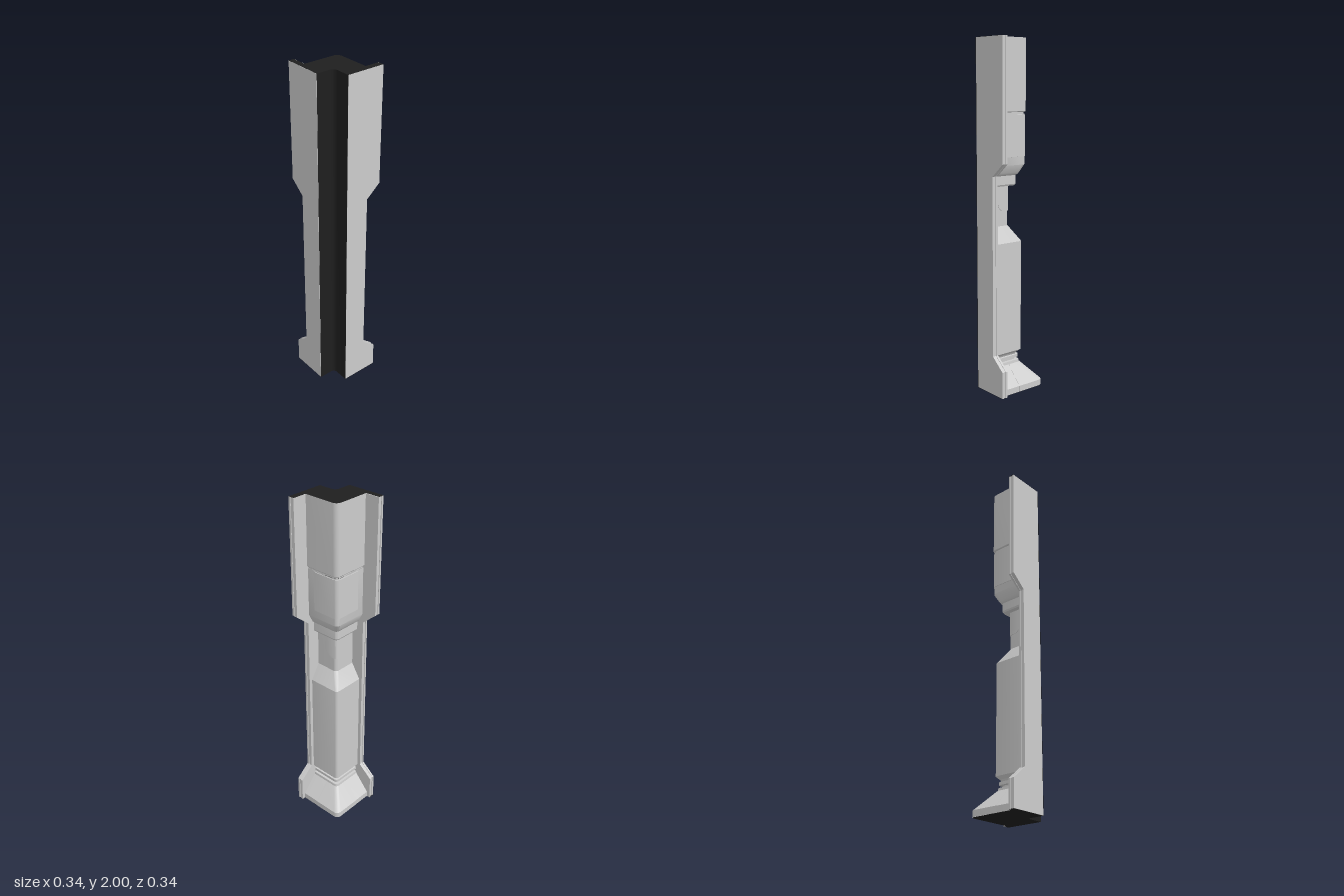
import * as THREE from 'three';
import { toCreasedNormals } from 'three/addons/utils/BufferGeometryUtils.js';

const grey = new THREE.MeshStandardMaterial({ color: 0xcccccc, side: THREE.DoubleSide });
const dark = new THREE.MeshStandardMaterial({ color: 0x1e1e1e, side: THREE.DoubleSide });
const END = 0.14; // where the column runs into the plates

// Path in plan [x, z]: along the back, round the corner (-w, -w), along the side
function cornerPath(w, r, end, lip) {
  const pts = [[end, -w + lip], [end, -w]];
  const c = -w + r;
  for (let i = 0; i <= 6; i++) {
    const a = (i / 6) * Math.PI / 2;
    pts.push([c - r * Math.sin(a), c - r * Math.cos(a)]);
  }
  pts.push([-w, end], [-w + lip, end]);
  return pts;
}

// Skin stretched over corner paths; each row is [y, w, radius, end]
function loft(name, rows, lip = 0.006) {
  const pos = [], idx = [];
  const n = cornerPath(0, 0.01, END, lip).length;
  rows.forEach(([y, w, r = 0.02, end = END], j) => {
    for (const [x, z] of cornerPath(w, r, end, lip)) pos.push(x, y, z);
    if (!j) return;
    for (let i = 0; i < n - 1; i++) {
      const a = (j - 1) * n + i, b = a + n;
      idx.push(a, a + 1, b, a + 1, b + 1, b);
    }
  });
  const g = new THREE.BufferGeometry();
  g.setAttribute('position', new THREE.Float32BufferAttribute(pos, 3));
  g.setIndex(idx);
  const mesh = new THREE.Mesh(toCreasedNormals(g, 0.5), grey);
  mesh.name = name;
  return mesh;
}

// Notch on the front corner, in plan [x, z], with a rounded inner corner
function notchPath() {
  const pts = [[0.06, 0.167]];
  for (let i = 0; i <= 6; i++) {
    const a = (i / 6) * Math.PI / 2;
    pts.push([0.085 - 0.025 * Math.cos(a), 0.085 - 0.025 * Math.sin(a)]);
  }
  pts.push([0.17, 0.06]);
  return pts;
}

// Flat dark end closing the whole outline
function endCap(name, y, w, r) {
  const outline = [
    [-0.17, 0.167], ...notchPath(), [0.17, -0.167], [0.133, -0.167],
    ...cornerPath(w, r, 0.133, 0).slice(1, -1), [-0.17, 0.133],
  ];
  const shape = new THREE.Shape(outline.map(([x, z]) => new THREE.Vector2(x, z)));
  const g = new THREE.ShapeGeometry(shape).rotateX(Math.PI / 2).translate(0, y, 0);
  const mesh = new THREE.Mesh(g, dark);
  mesh.name = name;
  return mesh;
}

// Wall plate with a waist; three layers leave a fine groove along its edge
function plate(name, z0) {
  const group = new THREE.Group();
  group.name = name;
  const t = 0.036 / 3;
  for (let i = 0; i < 3; i++) {
    const g = i === 1 ? 0.004 : 0;
    const shape = new THREE.Shape([
      [0.058, 0.001], [0.058, 1.999], [-0.169 + g, 1.999], [-0.169 + g, 1.325],
      [-0.083 + g, 1.252], [-0.083 + g, 0.226], [-0.169 + g, 0.155], [-0.169 + g, 0.001],
    ].map(([x, y]) => new THREE.Vector2(x, y)));
    const geo = new THREE.ExtrudeGeometry(shape, { depth: t, bevelEnabled: false });
    const mesh = new THREE.Mesh(geo.translate(0, 0, z0 + i * t), grey);
    mesh.name = name + 'Layer';
    group.add(mesh);
  }
  return group;
}

export function createModel() {
  const model = new THREE.Group();
  model.name = 'cornerPillar';

  // Two plates at right angles
  const sidePlate = plate('sidePlate', -0.169);
  sidePlate.rotation.y = -Math.PI / 2;
  model.add(plate('frontPlate', 0.131), sidePlate);

  // Column from foot to head
  model.add(loft('foot', [
    [0.001, 0.148, 0.03], [0.036, 0.148, 0.03], [0.14, 0.055],
    [0.155, 0.053], [0.156, 0.036], [0.168, 0.036], [0.17, 0.05],
    [0.187, 0.05], [0.189, 0.04], [0.2, 0.046],
  ]));
  model.add(loft('lowerColumn', [
    [0.199, 0.045], [0.217, 0.063], [0.865, 0.063], [0.955, 0.007], [1.2, 0.007],
  ]));
  model.add(loft('collar', [
    [1.185, 0.0], [1.186, 0.036], [1.195, 0.041], [1.245, 0.041],
    [1.25, 0.048], [1.262, 0.055], [1.305, 0.077, 0.026], [1.588, 0.077, 0.026],
  ]));
  model.add(loft('head', [
    [1.587, 0.074, 0.026], [1.597, 0.074, 0.026], [1.598, 0.08, 0.03],
    [1.602, 0.083, 0.03], [2, 0.083, 0.03],
  ]));

  // Shallow panels folded round the corner
  model.add(loft('footPanel', [
    [0.002, 0.1495, 0.03, 0.03], [0.0365, 0.1495, 0.03, 0.03], [0.14, 0.0565, 0.02, 0.03],
  ]));
  model.add(loft('headPanel', [
    [1.35, 0.075, 0.026, 0.083], [1.351, 0.08, 0.028, 0.088],
    [1.582, 0.08, 0.028, 0.088], [1.583, 0.075, 0.026, 0.083],
  ]));
  const slot = [[1.039, 0.005, 0.015, 0.03]];
  for (let i = 0; i <= 6; i++) {
    const a = (i / 6) * Math.PI / 2;
    slot.push([1.085 - 0.045 * Math.cos(a), 0.01, 0.02, 0.03 + 0.042 * Math.sin(a)]);
  }
  slot.push([1.19, 0.01, 0.02, 0.072]);
  model.add(loft('neckPanel', slot));

  // Dark lining of the front notch
  const pts = notchPath(), pos = [], idx = [];
  pts.forEach(([x, z], i) => {
    pos.push(x, 0, z, x, 2, z);
    if (i) idx.push(2 * i - 2, 2 * i, 2 * i - 1, 2 * i, 2 * i + 1, 2 * i - 1);
  });
  const g = new THREE.BufferGeometry();
  g.setAttribute('position', new THREE.Float32BufferAttribute(pos, 3));
  g.setIndex(idx);
  const lining = new THREE.Mesh(toCreasedNormals(g, 0.5), dark);
  lining.name = 'notchLining';
  model.add(lining);

  // Dark ends
  model.add(endCap('topEnd', 2, 0.083, 0.03), endCap('bottomEnd', 0, 0.148, 0.03));
  return model;
}
